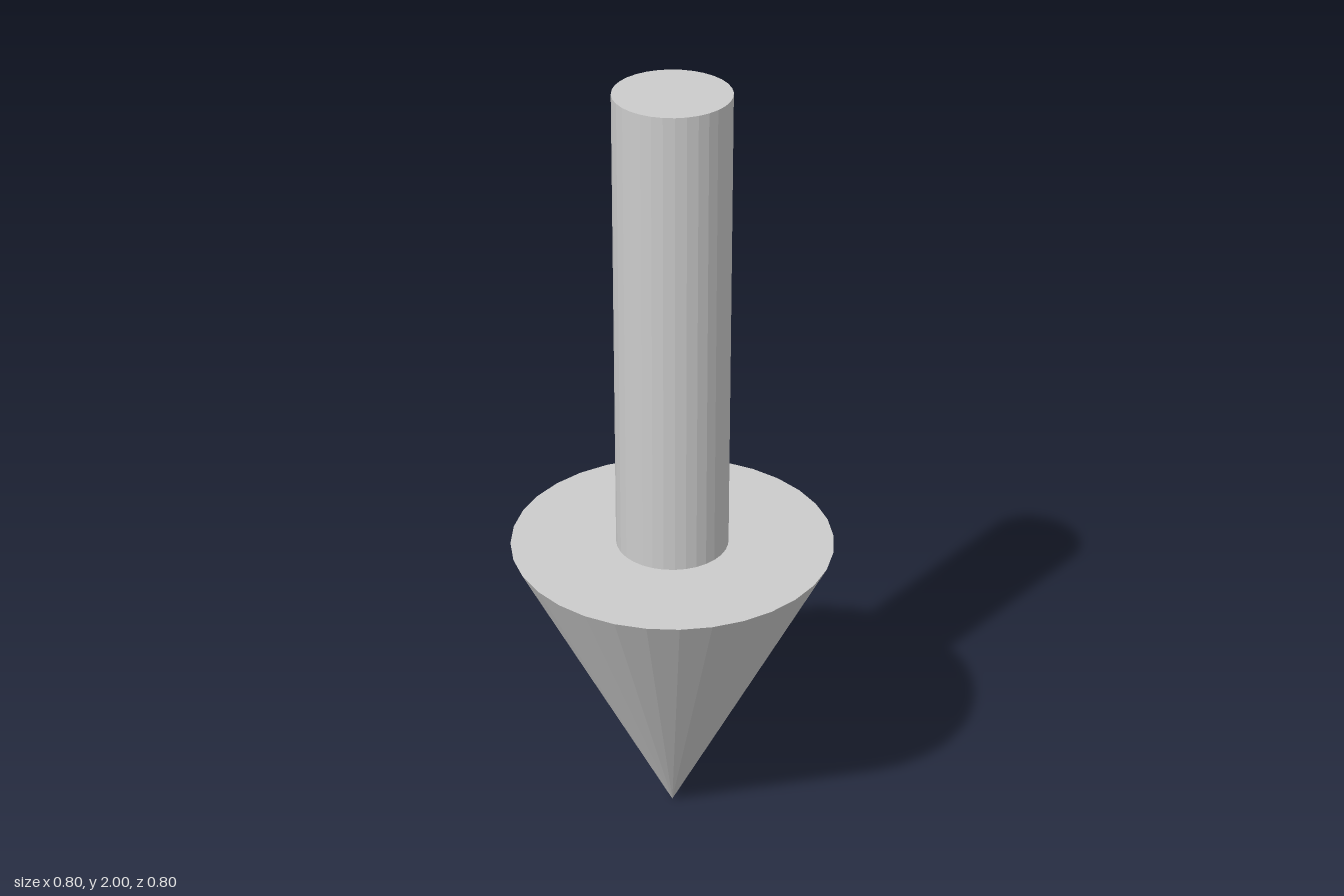
import * as THREE from 'three';

const SIDES = 32;
const HEIGHT = 2;
const HEAD_HEIGHT = 0.805;
const HEAD_RADIUS = 0.402;
const SHAFT_RADIUS = 0.14;

export function createModel() {
  const group = new THREE.Group();
  group.name = 'downArrow';
  const material = new THREE.MeshStandardMaterial({ color: 0xcccccc, flatShading: true });

  // Faceted head: a closed cone with its tip on the ground
  const headGeometry = new THREE.ConeGeometry(HEAD_RADIUS, HEAD_HEIGHT, SIDES);
  headGeometry.rotateX(Math.PI);
  const head = new THREE.Mesh(headGeometry, material);
  head.name = 'arrowHead';
  head.position.y = HEAD_HEIGHT / 2;

  // Round shaft standing on the flat base of the head
  const shaftHeight = HEIGHT - HEAD_HEIGHT;
  const shaft = new THREE.Mesh(
    new THREE.CylinderGeometry(SHAFT_RADIUS, SHAFT_RADIUS, shaftHeight, SIDES),
    material
  );
  shaft.name = 'shaft';
  shaft.position.y = HEAD_HEIGHT + shaftHeight / 2;

  group.add(head, shaft);
  return group;
}
